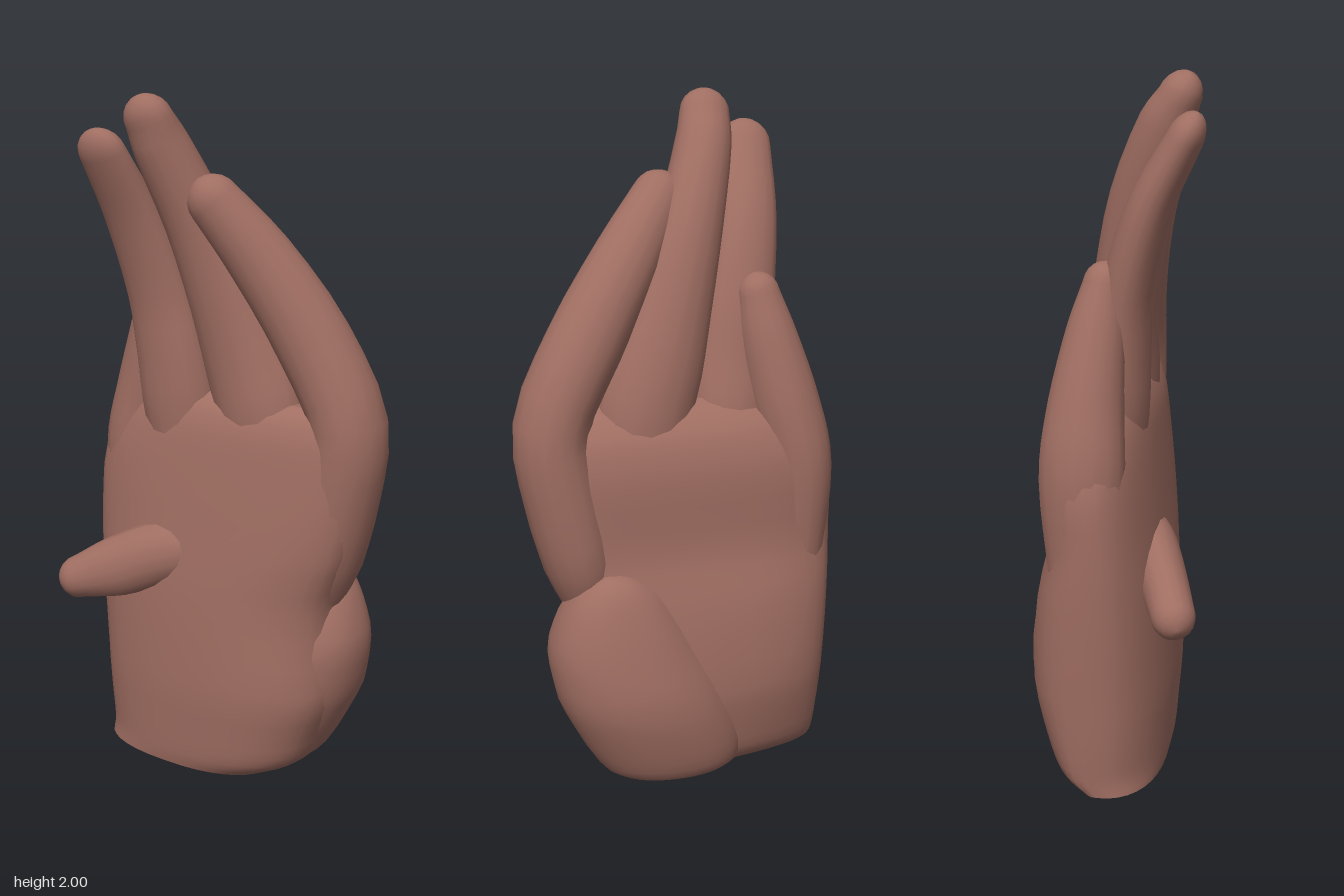
import * as THREE from 'three';

const skin = new THREE.MeshStandardMaterial({ color: 0xa06e62 });
skin.name = 'skin';

// Skin a list of rings (equal point counts, running bottom to top) and close both ends
function skinRings(rings) {
  const n = rings[0].length, pos = [], idx = [];
  rings.forEach(r => r.forEach(p => pos.push(p.x, p.y, p.z)));
  for (let i = 0; i < rings.length - 1; i++) {
    for (let j = 0; j < n; j++) {
      const a = i * n + j, b = i * n + (j + 1) % n;
      idx.push(a, a + n, b, b, a + n, b + n);
    }
  }
  [rings[0], rings[rings.length - 1]].forEach((ring, end) => {
    const start = pos.length / 3;
    const mid = new THREE.Vector3();
    ring.forEach(p => { pos.push(p.x, p.y, p.z); mid.addScaledVector(p, 1 / n); });
    pos.push(mid.x, mid.y, mid.z);
    for (let j = 0; j < n; j++) {
      const a = start + j, b = start + (j + 1) % n;
      if (end) idx.push(a, start + n, b);
      else idx.push(a, b, start + n);
    }
  });
  const geo = new THREE.BufferGeometry();
  geo.setAttribute('position', new THREE.Float32BufferAttribute(pos, 3));
  geo.setIndex(idx);
  geo.computeVertexNormals();
  return geo;
}

// Horizontal sections [y, x0, x1, z0, z1, slant], smoothed between.
// Powers set the squareness of front and back; slant thins the back towards -x.
function body(name, sections, frontPower, backPower) {
  const curve = pick => new THREE.CatmullRomCurve3(sections.map(s => new THREE.Vector3(...pick(s))));
  const low = curve(s => [s[1], s[0], s[3]]);
  const high = curve(s => [s[2], s[5], s[4]]);
  const round = (v, power) => Math.sign(v) * Math.abs(v) ** (2 / power);
  const rings = [], steps = (sections.length - 1) * 3;
  for (let i = 0; i <= steps; i++) {
    const a = low.getPoint(i / steps), b = high.getPoint(i / steps), ring = [];
    for (let j = 0; j < 36; j++) {
      const w = j / 36 * Math.PI * 2;
      const power = Math.sin(w) > 0 ? frontPower : backPower;
      const u = round(Math.cos(w), power);
      let v = round(Math.sin(w), power);
      if (v < 0) v *= 1 - b.y * (1 - u) / 2;
      ring.push(new THREE.Vector3(
        (a.x + b.x) / 2 + u * (b.x - a.x) / 2, a.y, (a.z + b.z) / 2 + v * (b.z - a.z) / 2));
    }
    rings.push(ring);
  }
  const mesh = new THREE.Mesh(skinRings(rings), skin);
  mesh.name = name;
  return mesh;
}

// Finger swept along points [x, y, z, half width, half depth], with a domed tip
function finger(name, points) {
  const path = new THREE.CatmullRomCurve3(points.map(p => new THREE.Vector3(p[0], p[1], p[2])));
  const size = new THREE.CatmullRomCurve3(points.map(p => new THREE.Vector3(p[3], p[4], 0)));
  const front = new THREE.Vector3(0, 0, 1), rings = [];
  const addRing = (t, lift, scale) => {
    const c = path.getPoint(t), r = size.getPoint(t), dir = path.getTangent(t);
    const side = dir.clone().cross(front).normalize();
    const out = side.clone().cross(dir);
    c.addScaledVector(dir, lift * r.x);
    const ring = [];
    for (let j = 0; j < 16; j++) {
      const w = j / 16 * Math.PI * 2;
      ring.push(c.clone()
        .addScaledVector(side, Math.cos(w) * r.x * scale)
        .addScaledVector(out, Math.sin(w) * r.y * scale));
    }
    rings.push(ring);
  };
  for (let i = 0; i <= 18; i++) addRing(i / 18, 0, 1);
  for (let i = 1; i <= 5; i++) {
    const w = i / 5 * 1.5;
    addRing(1, Math.sin(w), Math.cos(w));
  }
  const mesh = new THREE.Mesh(skinRings(rings), skin);
  mesh.name = name;
  return mesh;
}

export function createModel() {
  const hand = new THREE.Group();
  hand.name = 'hand';

  // Palm block, narrowing to the wrist and thinning to the finger webs
  hand.add(body('palm', [
    [0, -0.44, 0.14, -0.14, 0.168, 0.6],
    [0.05, -0.447, 0.24, -0.215, 0.177, 0.5],
    [0.15, -0.457, 0.29, -0.225, 0.184, 0.3],
    [0.3, -0.467, 0.34, -0.225, 0.189, 0.08],
    [0.55, -0.482, 0.33, -0.195, 0.177, 0],
    [0.73, -0.487, 0.39, -0.158, 0.157, 0],
    [0.93, -0.477, 0.42, -0.158, 0.133, 0],
    [1.05, -0.4, 0.41, -0.135, 0.115, 0],
    [1.12, -0.32, 0.37, -0.085, 0.085, 0],
    [1.15, -0.26, 0.32, -0.03, 0.04, 0],
  ], 2.35, 2.8));

  // Rounded mound at the base of the thumb, blending into the back of the palm
  hand.add(body('thumbMound', [
    [0.015, -0.1, 0.16, -0.19, 0, 0],
    [0.045, -0.18, 0.235, -0.232, 0.05, 0],
    [0.13, -0.19, 0.295, -0.262, 0.09, 0],
    [0.28, -0.14, 0.368, -0.287, 0.11, 0],
    [0.42, -0.07, 0.392, -0.27, 0.1, 0],
    [0.55, 0.01, 0.36, -0.24, 0.05, 0],
    [0.63, 0.08, 0.31, -0.21, -0.01, 0],
    [0.67, 0.15, 0.25, -0.175, -0.07, 0],
    [0.68, 0.19, 0.21, -0.13, -0.11, 0],
  ], 2.2, 2.2));

  // Thumb folded through to the front of the palm
  hand.add(finger('thumb', [
    [0.2, 0.6, -0.08, 0.08, 0.07],
    [-0.05, 0.68, 0.06, 0.085, 0.075],
    [-0.17, 0.662, 0.125, 0.095, 0.075],
    [-0.3, 0.605, 0.18, 0.092, 0.07],
    [-0.42, 0.557, 0.226, 0.065, 0.062],
  ]));

  // Four fingers, broad where they join the palm
  hand.add(finger('indexFinger', [
    [0.24, 0.5, -0.03, 0.06, 0.06],
    [0.29, 0.7, -0.045, 0.105, 0.12],
    [0.335, 0.9, -0.045, 0.112, 0.122],
    [0.36, 1.1, -0.04, 0.11, 0.118],
    [0.255, 1.33, -0.015, 0.112, 0.108],
    [0.112, 1.56, 0.045, 0.098, 0.09],
    [0.005, 1.713, 0.11, 0.078, 0.072],
  ]));
  hand.add(finger('middleFinger', [
    [0.11, 0.85, -0.02, 0.1, 0.09],
    [0.085, 1.1, -0.01, 0.145, 0.112],
    [0.04, 1.25, 0, 0.138, 0.105],
    [-0.012, 1.42, 0.025, 0.119, 0.097],
    [-0.08, 1.65, 0.075, 0.098, 0.09],
    [-0.143, 1.86, 0.155, 0.082, 0.078],
    [-0.156, 1.932, 0.19, 0.074, 0.06],
  ]));
  hand.add(finger('ringFinger', [
    [-0.16, 0.85, 0, 0.09, 0.09],
    [-0.185, 1.1, 0.02, 0.125, 0.1],
    [-0.2, 1.25, 0.04, 0.118, 0.085],
    [-0.227, 1.42, 0.062, 0.106, 0.072],
    [-0.267, 1.65, 0.13, 0.092, 0.062],
    [-0.292, 1.835, 0.226, 0.077, 0.05],
  ]));
  hand.add(finger('littleFinger', [
    [-0.385, 0.65, -0.03, 0.08, 0.1],
    [-0.376, 0.95, -0.035, 0.104, 0.12],
    [-0.335, 1.13, -0.03, 0.103, 0.105],
    [-0.287, 1.33, -0.01, 0.084, 0.08],
    [-0.265, 1.44, 0.005, 0.063, 0.058],
  ]));

  return hand;
}
